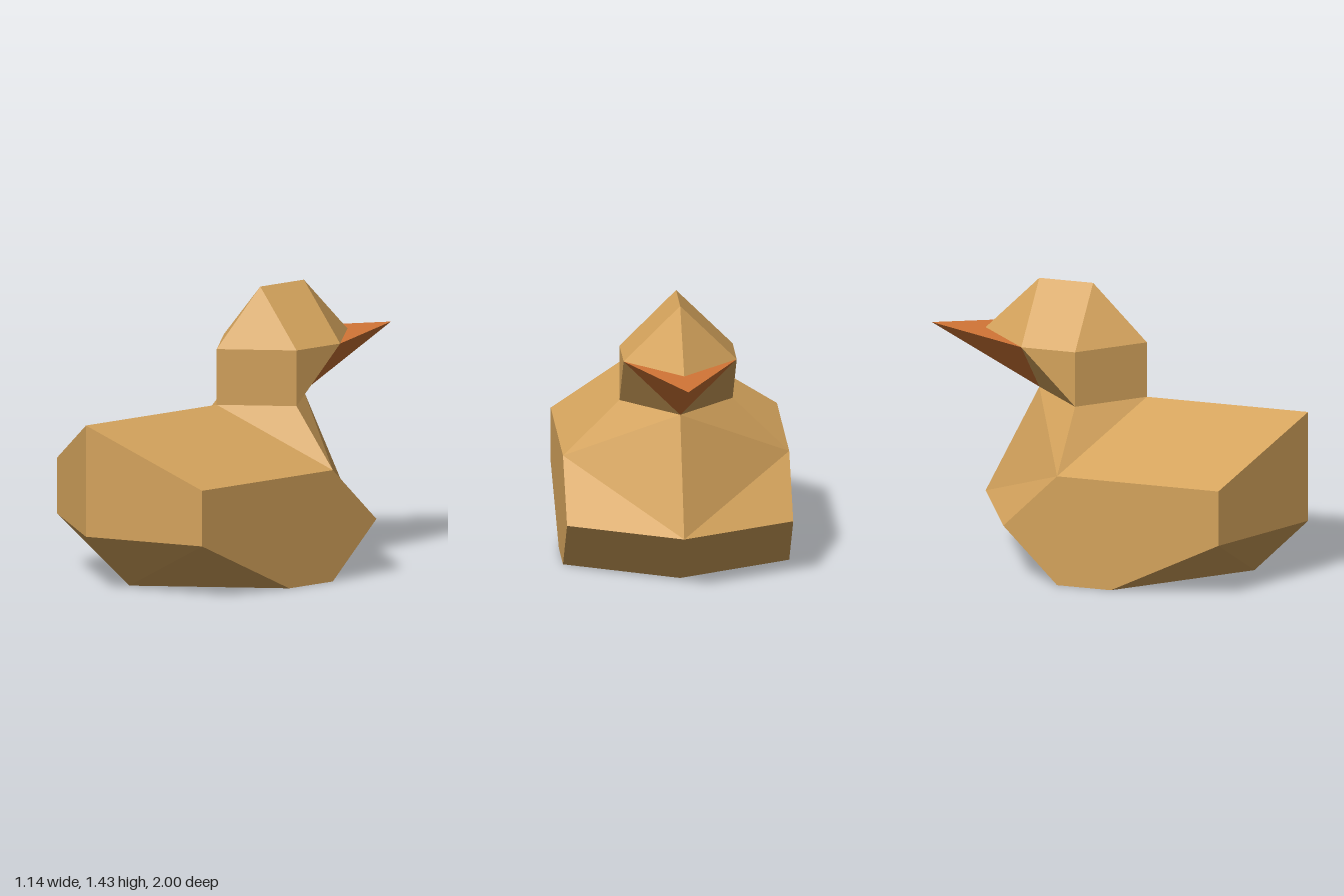
import * as THREE from 'three';

const U = 1 / 7; // the bird is laid out on a whole-number lattice of this size

const tan = new THREE.MeshStandardMaterial({ color: 0xd4a35c });
tan.name = 'tan plumage';
const orange = new THREE.MeshStandardMaterial({ color: 0xd27536 });
orange.name = 'orange beak';

// Faceted part from the polygons of its +x half, mirrored to -x.
// Each polygon is fanned from its first corner and turned away from the inner point.
function facetedPart(name, material, inner, polygons) {
  const positions = [];
  const centre = new THREE.Vector3(...inner);
  for (const side of [1, -1]) {
    for (const polygon of polygons) {
      const p = polygon.map(([x, y, z]) => new THREE.Vector3(x * side, y, z));
      for (let i = 1; i < p.length - 1; i++) {
        const tri = [p[0], p[i], p[i + 1]];
        const normal = new THREE.Triangle(...tri).getNormal(new THREE.Vector3());
        if (normal.dot(tri[0].clone().sub(centre)) < 0) tri.reverse();
        for (const v of tri) positions.push(v.x * U, v.y * U, v.z * U);
      }
    }
  }
  const geometry = new THREE.BufferGeometry();
  geometry.setAttribute('position', new THREE.Float32BufferAttribute(positions, 3));
  geometry.computeVertexNormals(); // unshared corners give flat facets
  const mesh = new THREE.Mesh(geometry, material);
  mesh.name = name;
  return mesh;
}

export function createModel() {
  const group = new THREE.Group();
  group.name = 'duck';

  // Corners shared by body, head and beak
  const nape = [0, 6, 1], neck = [2, 6, -1], throat = [0, 6, -3];
  const cheek = [2, 8, -3];

  // Body
  const tailTop = [0, 6, 7], tailLow = [0, 2, 7], keelBack = [0, 0, 5], keelFront = [0, 0, -3];
  const rumpTop = [4, 4, 5], rumpLow = [4, 2, 5], shoulder = [4, 4, -1];
  const breastSide = [4, 2, -3], breast = [0, 2, -5];
  const footBack = [4, 0, 1], footFront = [4, 0, -1];
  group.add(facetedPart('body', tan, [0, 3, 1], [
    [tailTop, rumpTop, shoulder, nape], // back
    [tailTop, tailLow, rumpLow, rumpTop], // tail
    [rumpTop, rumpLow, footBack, footFront, breastSide, shoulder], // flank
    [nape, shoulder, neck], // neck base
    [shoulder, neck, throat, breast, breastSide], // chest
    [breast, breastSide, footFront, keelFront], // lower breast
    [tailLow, rumpLow, keelBack], // under tail
    [rumpLow, footBack, keelBack], // under rump
    [keelBack, footBack, footFront, keelFront], // base
  ]));

  // Head
  const headBack = [0, 8, 1], temple = [2, 8, -1], brow = [0, 8, -5];
  const crownBack = [0, 10, -1], crownFront = [0, 10, -3];
  group.add(facetedPart('head', tan, [0, 8, -2], [
    [headBack, temple, neck, nape], // back of head
    [temple, cheek, neck], // side
    [cheek, neck, throat], // jaw
    [headBack, temple, crownBack], // rear crown
    [crownBack, temple, cheek, crownFront], // side crown
    [crownFront, cheek, brow], // forehead
  ]));

  // Beak
  const beakTip = [0, 8, -7];
  group.add(facetedPart('beak', orange, [0, 7.5, -3.5], [
    [cheek, [0, 8, -3], beakTip], // top
    [cheek, throat, beakTip], // underside
  ]));

  return group;
}
